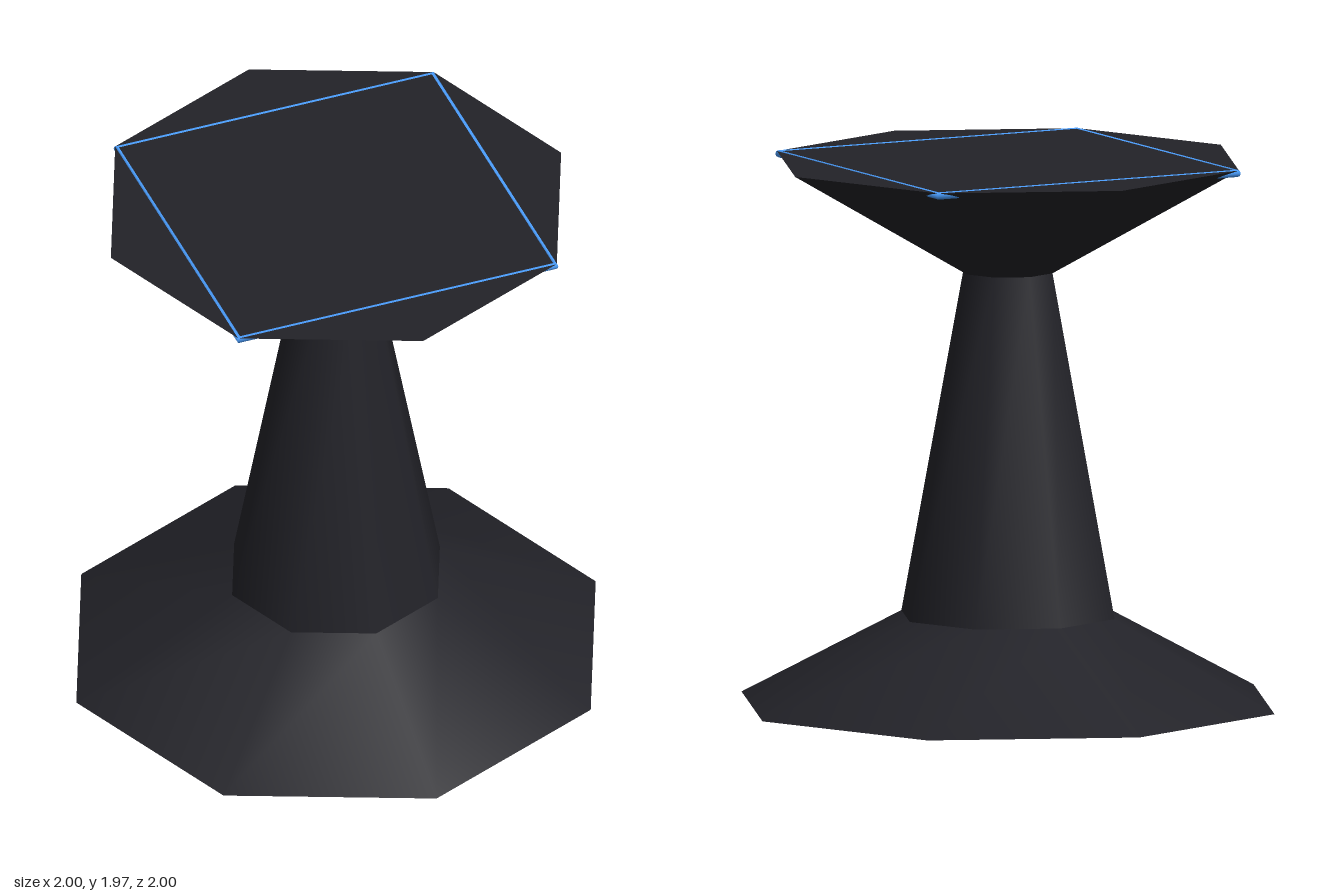
import * as THREE from 'three';

const SIDES = 8;

export function createModel() {
  const model = new THREE.Group();
  const dark = new THREE.MeshStandardMaterial({ color: 0x222228 });
  const blue = new THREE.MeshStandardMaterial({ color: 0x4a9eff });

  // Eight-sided tapered section standing between two heights
  function section(name, bottomRadius, topRadius, y0, y1) {
    const mesh = new THREE.Mesh(
      new THREE.CylinderGeometry(topRadius, bottomRadius, y1 - y0, SIDES), dark);
    mesh.position.y = (y0 + y1) / 2;
    mesh.name = name;
    model.add(mesh);
  }

  section('base', 1, 0.4, 0, 0.32);
  section('column', 0.4, 0.167, 0.32, 1.565);
  section('tableTop', 0.167, 0.867, 1.565, 1.966);

  // Thin square trim, mostly sunk into the top with its corners on the axes
  const trim = new THREE.Mesh(new THREE.TorusGeometry(0.86, 0.0133, 8, 4), blue);
  trim.rotation.x = Math.PI / 2;
  trim.position.y = 1.956;
  trim.name = 'topTrim';
  model.add(trim);

  return model;
}
